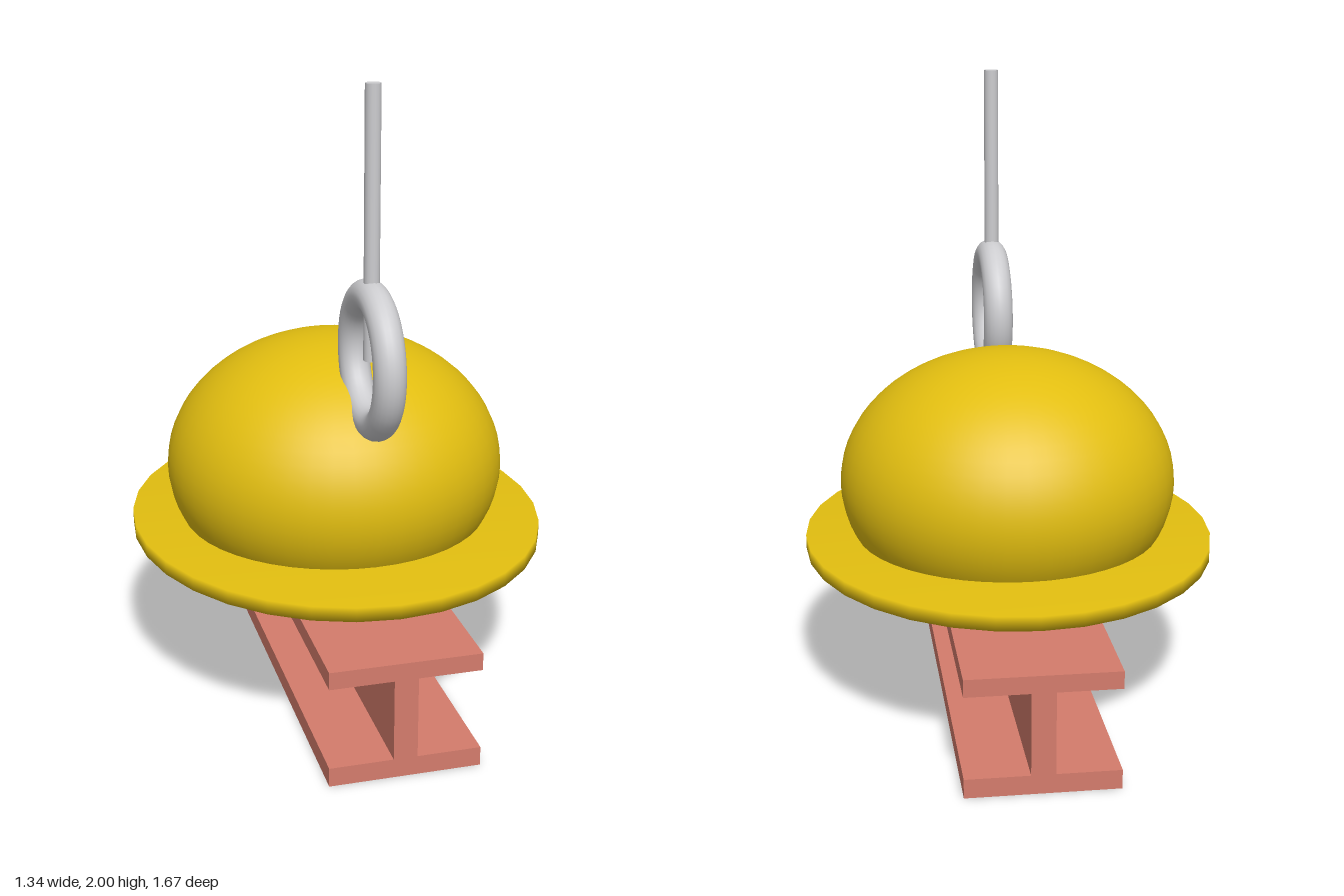
import * as THREE from 'three';
import { mergeVertices } from 'three/addons/utils/BufferGeometryUtils.js';

const yellow = new THREE.MeshStandardMaterial({ name: 'yellow', color: 0xe2be10 });
const salmon = new THREE.MeshStandardMaterial({ name: 'salmon red', color: 0xd47c6c });
const silver = new THREE.MeshStandardMaterial({ name: 'light grey', color: 0xcdcdd0 });

// Share normals across every edge for a fully smooth surface
function smooth(geometry) {
  geometry.deleteAttribute('normal');
  geometry.deleteAttribute('uv');
  const merged = mergeVertices(geometry);
  merged.computeVertexNormals();
  return merged;
}

export function createModel() {
  const model = new THREE.Group();
  model.name = 'hardHatOnBeam';

  const add = (parent, name, geometry, material, x, y, z) => {
    const mesh = new THREE.Mesh(geometry, material);
    mesh.name = name;
    mesh.position.set(x, y, z);
    parent.add(mesh);
    return mesh;
  };

  // I-beam: two flanges joined by a web
  const beam = new THREE.Group();
  beam.name = 'beam';
  model.add(beam);
  const length = 1.672;
  add(beam, 'bottomFlange', new THREE.BoxGeometry(0.47, 0.06, length), salmon, 0, 0.03, 0);
  add(beam, 'topFlange', new THREE.BoxGeometry(0.47, 0.055, length), salmon, 0, 0.3475, 0);
  add(beam, 'web', new THREE.BoxGeometry(0.074, 0.27, length), salmon, 0, 0.19, 0);

  // Hat: squashed sphere with an oval brim
  const hat = new THREE.Group();
  hat.name = 'hardHat';
  model.add(hat);
  const dome = new THREE.SphereGeometry(0.55, 48, 32).scale(1, 0.78, 1);
  add(hat, 'dome', dome, yellow, 0, 0.703, 0);
  const brim = smooth(new THREE.CylinderGeometry(1, 1, 0.045, 32).scale(0.668, 1, 0.77));
  add(hat, 'brim', brim, yellow, 0, 0.507, 0);

  // Ring standing in the side plane, hung from a rod
  const hanger = new THREE.Group();
  hanger.name = 'hanger';
  model.add(hanger);
  const ring = new THREE.TorusGeometry(0.196, 0.049, 20, 48).rotateY(Math.PI / 2);
  add(hanger, 'ring', ring, silver, 0, 1.177, 0.434);
  add(hanger, 'rod', new THREE.CylinderGeometry(0.024, 0.024, 0.823, 16), silver, 0, 1.5885, 0.434);

  return model;
}
